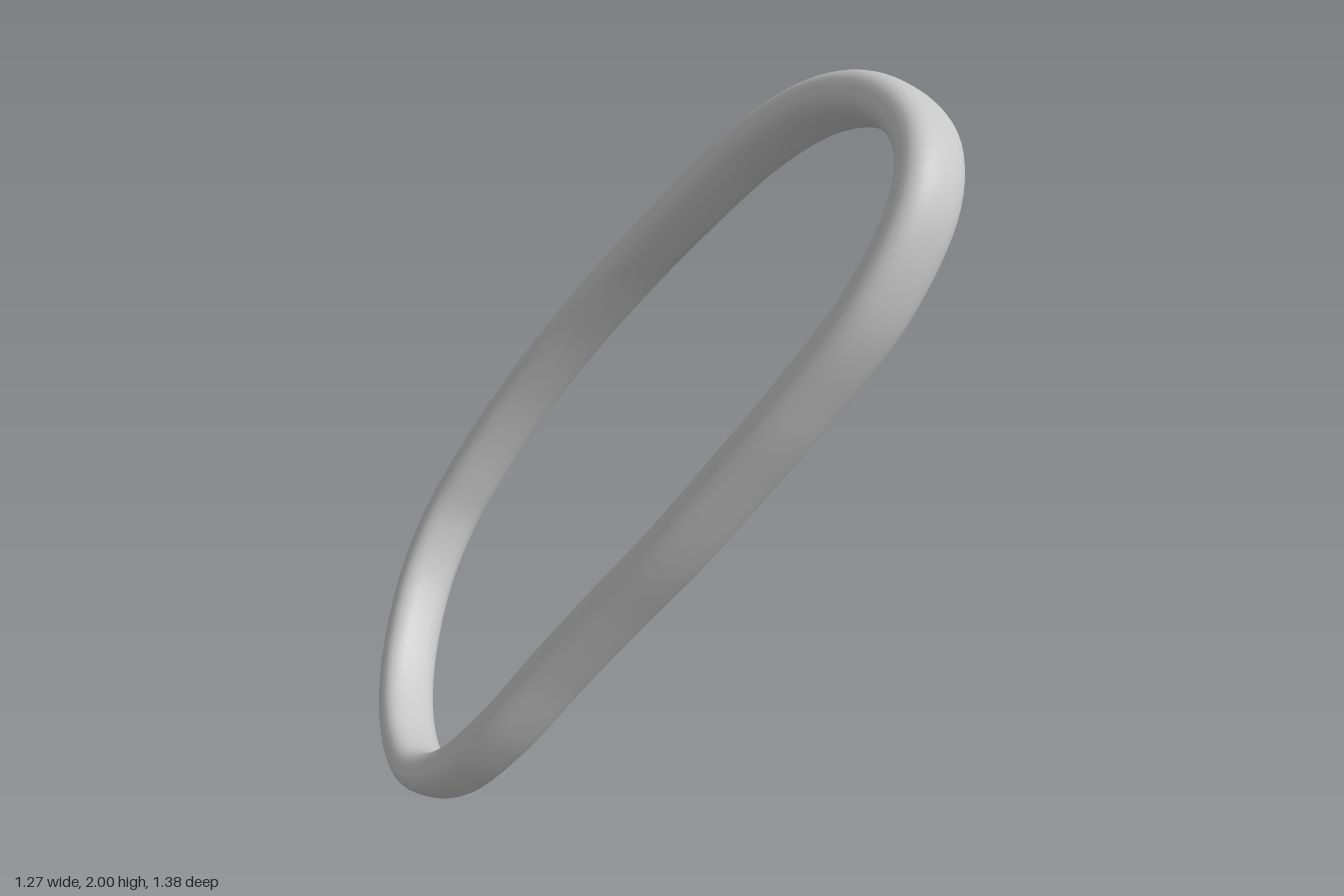
import * as THREE from 'three';

// Centre line of the band as [z, y]; x follows from the tilted plane it lies in.
const PATH = [
  [0.33, 1.933], [0.16, 1.912], [0, 1.847], [-0.11, 1.765], [-0.215, 1.65],
  [-0.37, 1.4], [-0.472, 1.2], [-0.554, 1.0], [-0.61, 0.8], [-0.635, 0.6],
  [-0.629, 0.45], [-0.56, 0.295], [-0.41, 0.158], [-0.26, 0.09], [-0.11, 0.068],
  [0.035, 0.09], [0.165, 0.19], [0.265, 0.37], [0.338, 0.6], [0.408, 0.8],
  [0.484, 1.0], [0.542, 1.2], [0.596, 1.4], [0.633, 1.64], [0.58, 1.825], [0.475, 1.908],
];
const SLOPE = 0.6;        // x gained per unit of height
const HALF_DEPTH = 0.056; // in the plane of the loop
const HALF_WIDTH = 0.077; // across the plane of the loop

// Closed tube with a rounded-rectangle section that keeps facing the loop's plane.
function bandGeometry(segments, sides) {
  const curve = new THREE.CatmullRomCurve3(
    PATH.map(([z, y]) => new THREE.Vector3((y - 1) * SLOPE, y, z)), true, 'centripetal');
  const normal = new THREE.Vector3(-1, SLOPE, 0).normalize();
  const soften = (v) => Math.sign(v) * Math.pow(Math.abs(v), 2 / 2.6);
  const positions = [], index = [];
  for (let i = 0; i < segments; i++) {
    const centre = curve.getPointAt(i / segments);
    const outward = curve.getTangentAt(i / segments).cross(normal).normalize();
    for (let j = 0; j < sides; j++) {
      const angle = (j / sides) * Math.PI * 2;
      const p = centre.clone()
        .addScaledVector(outward, HALF_DEPTH * soften(Math.cos(angle)))
        .addScaledVector(normal, HALF_WIDTH * soften(Math.sin(angle)));
      positions.push(p.x, p.y, p.z);
      const ni = (i + 1) % segments, nj = (j + 1) % sides;
      const a = i * sides + j, b = ni * sides + j, c = ni * sides + nj, d = i * sides + nj;
      index.push(a, b, d, b, c, d);
    }
  }
  const geometry = new THREE.BufferGeometry();
  geometry.setAttribute('position', new THREE.Float32BufferAttribute(positions, 3));
  geometry.setIndex(index);
  geometry.computeVertexNormals();
  return geometry;
}

export function createModel() {
  const group = new THREE.Group();
  const lightGrey = new THREE.MeshStandardMaterial({ color: 0xc6c6c6 });
  lightGrey.name = 'lightGrey';
  const band = new THREE.Mesh(bandGeometry(200, 32), lightGrey);
  band.name = 'loopBand';
  group.add(band);
  return group;
}
